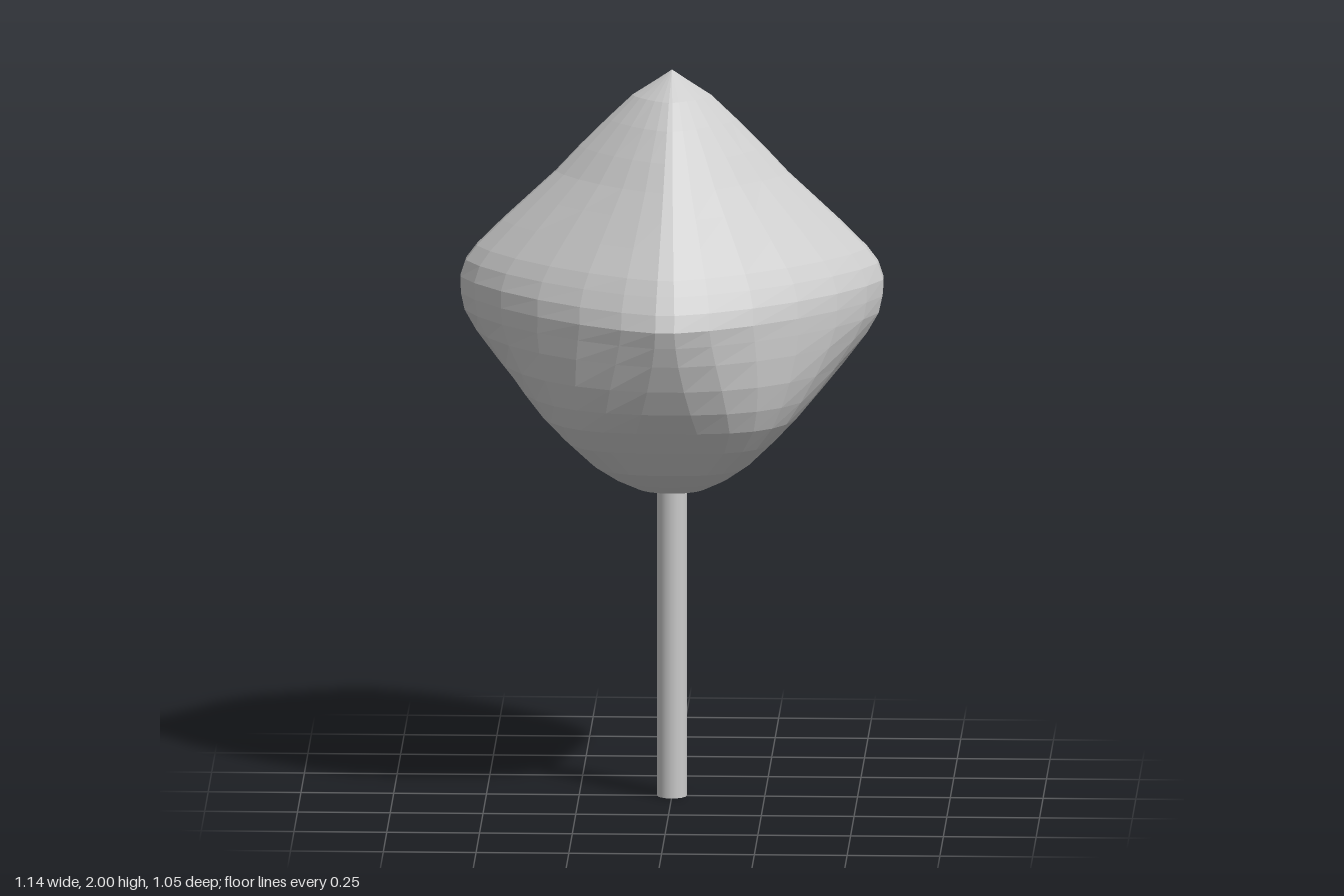
import * as THREE from 'three';

// Crown sections from bottom to tip: half width in x, height, half depth in z,
// and corner power (below 2 a diamond with corners on the axes, above 2 a rounded square)
const SECTIONS = [
  [0, 0.848, 0, 2.2], [0.1, 0.855, 0.11, 2.2], [0.16, 0.89, 0.195, 2.5],
  [0.22, 0.94, 0.28, 3], [0.29, 1.015, 0.345, 3.5], [0.355, 1.08, 0.395, 3],
  [0.41, 1.14, 0.435, 2.4], [0.47, 1.21, 0.47, 1.95], [0.53, 1.285, 0.5, 1.62],
  [0.563, 1.34, 0.518, 1.47], [0.573, 1.385, 0.53, 1.41], [0.575, 1.43, 0.513, 1.4],
  [0.56, 1.475, 0.487, 1.38], [0.53, 1.515, 0.462, 1.37], [0.46, 1.585, 0.405, 1.36],
  [0.385, 1.655, 0.348, 1.36], [0.315, 1.72, 0.295, 1.36], [0.25, 1.79, 0.238, 1.37],
  [0.175, 1.865, 0.173, 1.38], [0.107, 1.93, 0.105, 1.4], [0.045, 1.97, 0.045, 1.4],
  [0, 2, 0, 1.4],
];

// Loft through the sections
function crownGeometry(sides = 28) {
  const positions = [];
  const index = [];
  const rounded = (v, e) => Math.sign(v) * Math.pow(Math.abs(v), e);
  const last = SECTIONS.length - 1;
  SECTIONS.forEach(([halfX, y, halfZ, power], j) => {
    for (let i = 0; i < sides; i++) {
      // half-step offset leaves a narrow flat along each of the four ridges
      const t = ((i + 0.5) / sides) * Math.PI * 2;
      positions.push(
        halfX * rounded(Math.cos(t), 2 / power), y, halfZ * rounded(Math.sin(t), 2 / power));
      if (j === last) continue;
      const a = j * sides + i;
      const b = j * sides + ((i + 1) % sides);
      if (j < last - 1) index.push(a + sides, b + sides, b);
      if (j > 0) index.push(a, a + sides, b);
      else index.push(a, a + sides, b + sides);
    }
  });
  const geometry = new THREE.BufferGeometry();
  geometry.setAttribute('position', new THREE.Float32BufferAttribute(positions, 3));
  geometry.setIndex(index);
  geometry.computeVertexNormals();
  return geometry;
}

export function createModel() {
  const model = new THREE.Group();
  model.name = 'tree';

  // Faceted crown
  const crown = new THREE.Mesh(
    crownGeometry(), new THREE.MeshStandardMaterial({ color: 0xcccccc, flatShading: true }));
  crown.name = 'crown';
  model.add(crown);

  // Thin straight trunk, an open tube
  const trunk = new THREE.Mesh(
    new THREE.CylinderGeometry(0.04, 0.04, 0.87, 16, 1, true),
    new THREE.MeshStandardMaterial({ color: 0xcccccc, side: THREE.DoubleSide }));
  trunk.name = 'trunk';
  trunk.position.y = 0.435;
  model.add(trunk);

  return model;
}
